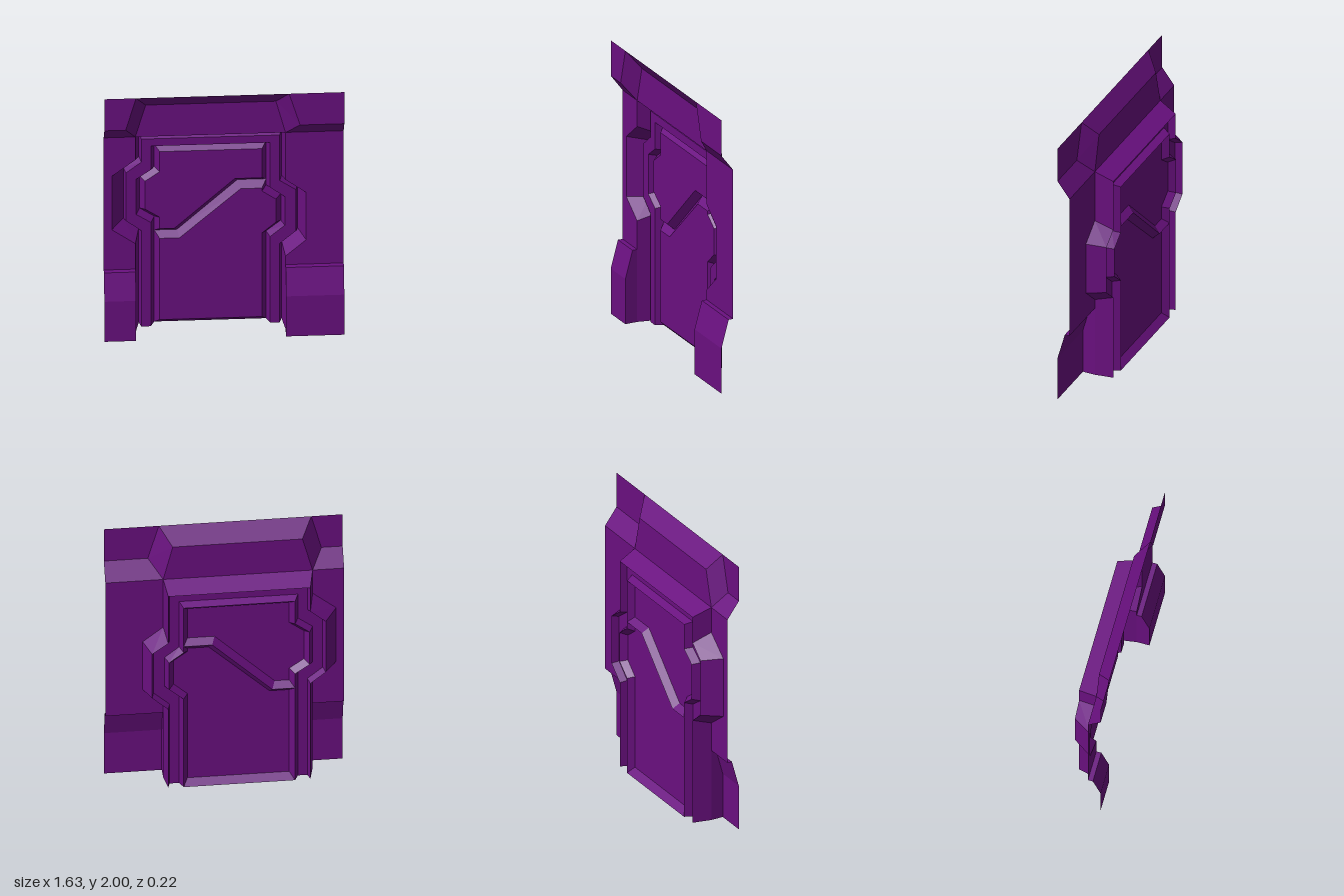
import * as THREE from 'three';

const material = new THREE.MeshStandardMaterial({ color: 0x6a1080, flatShading: true, side: THREE.DoubleSide });

function surface(name, positions) {
  const g = new THREE.BufferGeometry();
  g.setAttribute('position', new THREE.Float32BufferAttribute(positions, 3));
  g.computeVertexNormals();
  const mesh = new THREE.Mesh(g, material);
  mesh.name = name;
  return mesh;
}

// give a flat outline a depth
const at = (points, z) => points.map(([x, y]) => [x, y, z]);

// ribbon of quads joining two paths with equal point counts
function strip(name, a, b, closed = false) {
  const out = [];
  const n = a.length;
  for (let i = 0; i < (closed ? n : n - 1); i++) {
    const j = (i + 1) % n;
    out.push(...a[i], ...b[i], ...b[j], ...a[i], ...b[j], ...a[j]);
  }
  return surface(name, out);
}

// flat filled outline facing the front
function plate(name, points, z) {
  const g = new THREE.ShapeGeometry(new THREE.Shape(points.map(([x, y]) => new THREE.Vector2(x, y))));
  g.translate(0, 0, z);
  const mesh = new THREE.Mesh(g, material);
  mesh.name = name;
  return mesh;
}

// doorway outline running up the -x side, across the top and down the +x side;
// each side has a bulge: [x, bulge x, four kink heights upward]
function doorway(top, [lx, lb, l1, l2, l3, l4], [rx, rb, r1, r2, r3, r4]) {
  return [
    [lx, 0], [lx, l1], [lb, l2], [lb, l3], [lx, l4], [lx, top],
    [rx, top], [rx, r4], [rb, r3], [rb, r2], [rx, r1], [rx, 0],
  ];
}

export function createModel() {
  const model = new THREE.Group();
  model.name = 'doorWall';

  const W = 0.815, WALL = 0.02, FRONT = 0.11, BACK = -0.11, FRAME = -0.06, GROOVE = -0.115, DOOR = -0.07;

  // nested doorway outlines, from the wall opening to the door edge
  const opening = doorway(1.62, [-0.6, -0.76, 0.74, 0.86, 1.3, 1.43], [0.42, 0.56, 0.6, 0.73, 1.12, 1.23]);
  const recess = doorway(1.565, [-0.57, -0.675, 0.78, 0.865, 1.28, 1.37], [0.4, 0.51, 0.64, 0.74, 1.1, 1.18]);
  const frameOuter = doorway(1.545, [-0.555, -0.66, 0.79, 0.875, 1.27, 1.355], [0.385, 0.495, 0.65, 0.75, 1.09, 1.17]);
  const frameInner = doorway(1.485, [-0.49, -0.59, 0.855, 0.925, 1.215, 1.29], [0.32, 0.42, 0.71, 0.8, 1.035, 1.115]);
  const doorEdge = doorway(1.465, [-0.465, -0.565, 0.87, 0.94, 1.205, 1.28], [0.295, 0.395, 0.72, 0.805, 1.025, 1.1]);

  const frame = new THREE.Group();
  frame.name = 'doorFrame';
  frame.add(
    strip('recessSides', at(opening, WALL), at(recess, BACK)),
    strip('frameOuterBevel', at(recess, BACK), at(frameOuter, FRAME)),
    strip('frameFace', at(frameOuter, FRAME), at(frameInner, FRAME)),
    strip('frameInnerSides', at(frameInner, FRAME), at(doorEdge, GROOVE)),
  );
  model.add(frame);

  // two bevelled door leaves meeting along a stepped diagonal groove
  const leaves = {
    upperDoorPanel: [
      [[-0.465, 0.755], [-0.31, 0.755], [0.1, 1.15], [0.295, 1.15], [0.295, 1.465], [-0.465, 1.465],
        [-0.465, 1.28], [-0.565, 1.205], [-0.565, 0.94], [-0.465, 0.87]],
      [[-0.43, 0.795], [-0.33, 0.795], [0.08, 1.19], [0.265, 1.19], [0.265, 1.43], [-0.43, 1.43],
        [-0.43, 1.265], [-0.53, 1.19], [-0.53, 0.96], [-0.43, 0.89]],
    ],
    lowerDoorPanel: [
      [[-0.465, 0], [0.295, 0], [0.295, 0.72], [0.395, 0.805], [0.395, 1.025], [0.295, 1.1],
        [0.295, 1.15], [0.1, 1.15], [-0.31, 0.755], [-0.465, 0.755]],
      [[-0.43, 0.045], [0.265, 0.045], [0.265, 0.735], [0.36, 0.82], [0.36, 1.01], [0.265, 1.08],
        [0.265, 1.105], [0.12, 1.105], [-0.295, 0.715], [-0.43, 0.715]],
    ],
  };
  for (const [name, [outer, inner]] of Object.entries(leaves)) {
    const leaf = new THREE.Group();
    leaf.name = name;
    leaf.add(strip('panelBevel', at(inner, DOOR), at(outer, GROOVE), true), plate('panelFace', inner, DOOR));
    model.add(leaf);
  }

  // walls, footings and top blocks on each side of the doorway
  const base = 0.53;
  const footProfile = [[base, WALL], [base, 0.055], [0.33, FRONT], [0, FRONT]];
  const sides = [
    { label: 'right', s: -1, x: -0.6, path: opening.slice(1, 6), topX: -0.6, lowX: -0.67 },
    { label: 'left', s: 1, x: 0.42, path: opening.slice(6, 11), topX: 0.44, lowX: 0.515 },
  ];
  for (const { label, s, x, path, topX, lowX } of sides) {
    const ends = s < 0
      ? [[x, base], ...path, [-W, 1.62], [-W, base]]
      : [...path, [x, base], [W, base], [W, 1.62]];
    model.add(plate(label + 'Wall', ends, WALL));

    // footing front and the cheek facing the doorway
    const [x0, x1] = s < 0 ? [-W, x] : [x, W];
    model.add(strip(label + 'Footing', footProfile.map(([y, z]) => [x0, y, z]), footProfile.map(([y, z]) => [x1, y, z]))
    );
    const cheek = footProfile.slice(1);
    const front = cheek.map(([y, z]) => [x, y, z]);
    const rear = cheek.map(([y]) => [x, y, WALL]);
    model.add(s < 0 ? strip('rightFootingCheek', rear, front) : strip('leftFootingCheek', front, rear));

    // projecting top block with its sloped underside
    const outerEdge = [[s * W, 2, FRONT], [s * W, 1.74, FRONT], [s * W, 1.62, WALL]];
    const innerEdge = [[topX, 2, FRONT], [lowX, 1.74, FRONT], [x, 1.62, WALL]];
    model.add(s < 0 ? strip('rightTopBlock', outerEdge, innerEdge) : strip('leftTopBlock', innerEdge, outerEdge));
  }

  // sunken panel above the door, with splayed sides
  const l = { a: [-0.6, 2, FRONT], b: [-0.67, 1.74, FRONT], c: [-0.6, 1.62, WALL], d: [-0.53, 1.88, WALL] };
  const r = { a: [0.44, 2, FRONT], b: [0.515, 1.74, FRONT], c: [0.42, 1.62, WALL], d: [0.355, 1.88, WALL] };
  model.add(
    strip('lintelPanel', [l.a, l.d, l.c], [r.a, r.d, r.c]),
    strip('rightLintelSplay', [l.a, l.b], [l.d, l.c]),
    strip('leftLintelSplay', [r.d, r.c], [r.a, r.b]),
  );

  return model;
}
